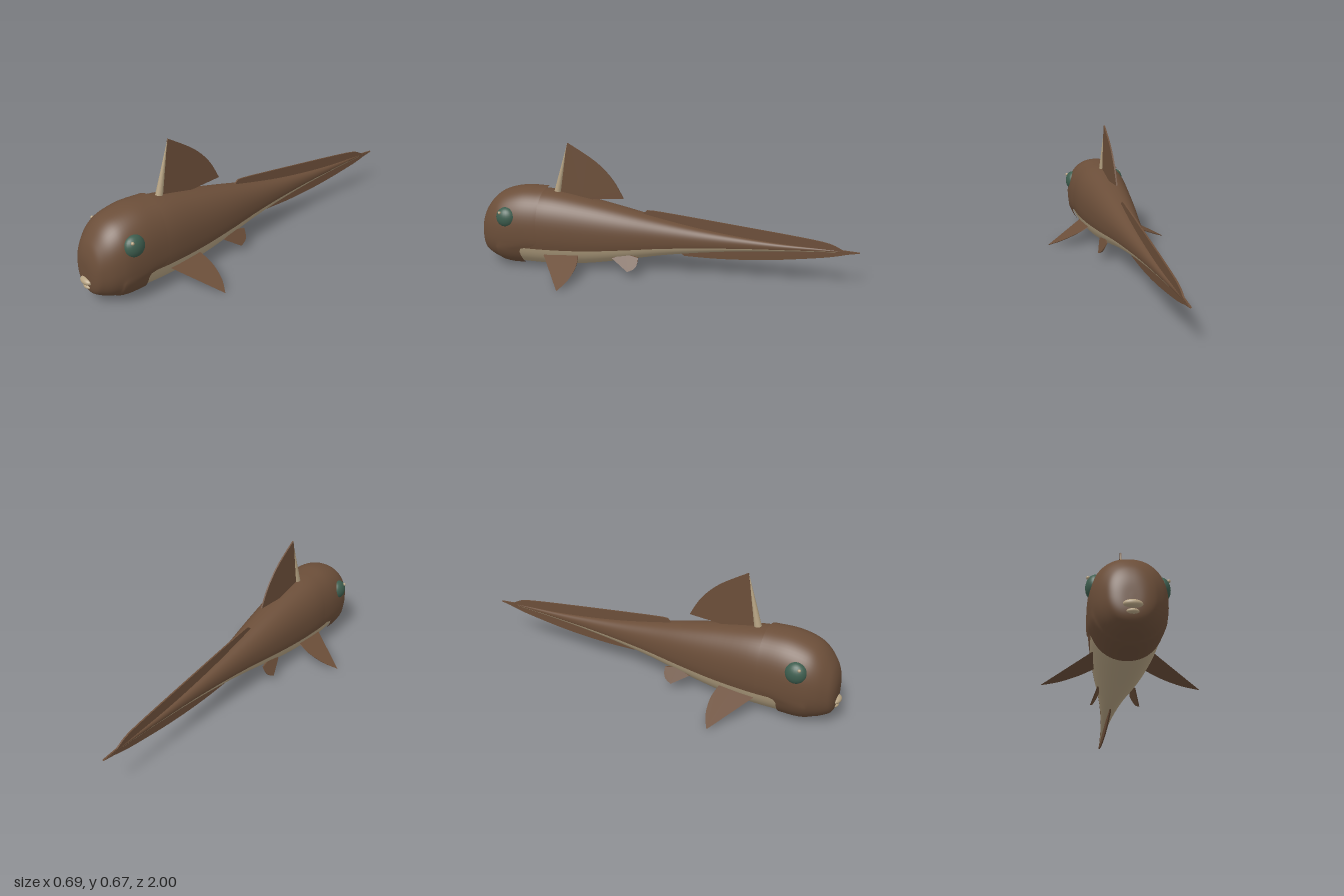
import * as THREE from 'three';
import { mergeVertices } from 'three/addons/utils/BufferGeometryUtils.js';

const material = (name, color, side = THREE.FrontSide) => {
  const m = new THREE.MeshStandardMaterial({ color, side });
  m.name = name;
  return m;
};

// Cross-section stations, back to front: [z, top, bottom, half width]
const BODY = [
  [-1, 0.2, 0.196, 0.001], [-0.8, 0.207, 0.188, 0.008], [-0.6, 0.217, 0.175, 0.018],
  [-0.4, 0.237, 0.158, 0.032], [-0.2, 0.265, 0.135, 0.052], [0, 0.303, 0.105, 0.078],
  [0.2, 0.347, 0.065, 0.108], [0.4, 0.388, 0.03, 0.133], [0.6, 0.421, 0.015, 0.154],
  [0.78, 0.422, 0.016, 0.154],
];
const HEAD = [
  [0.62, 0.434, 0.008, 0.162], [0.74, 0.435, 0.008, 0.166], [0.84, 0.413, 0.018, 0.16],
  [0.9, 0.378, 0.032, 0.14], [0.945, 0.325, 0.052, 0.108], [0.967, 0.28, 0.07, 0.083],
  [0.978, 0.23, 0.105, 0.048], [0.98, 0.165, 0.165, 0],
];
const BELLY = 1.18; // angle from straight down where the pale belly ends

const power = (v) => Math.sign(v) * Math.abs(v) ** 0.9;

// Smooth skin over the stations, between two angles measured from the underside
function loft(stations, from, to, around, shift = () => 0) {
  const spline = new THREE.CubicInterpolant(stations.map((s, i) => i), stations.flat(), 4);
  const rows = (stations.length - 1) * 5;
  const positions = [];
  const index = [];
  for (let i = 0; i <= rows; i++) {
    const t = i / 5;
    const [z, top, bottom, width] = Array.from(spline.evaluate(t));
    for (let j = 0; j <= around; j++) {
      const a = from + ((to - from) * j) / around;
      positions.push(
        width * power(Math.sin(a)),
        (top + bottom) / 2 - ((top - bottom) / 2) * power(Math.cos(a)),
        z + shift(a, t),
      );
      if (i < rows && j < around) {
        const p = i * (around + 1) + j;
        const q = p + around + 1;
        index.push(p, p + 1, q, p + 1, q + 1, q);
      }
    }
  }
  const geometry = new THREE.BufferGeometry();
  geometry.setAttribute('position', new THREE.Float32BufferAttribute(positions, 3));
  geometry.setIndex(index);
  const merged = mergeVertices(geometry, 1e-5);
  merged.computeVertexNormals();
  return merged;
}

// Thin fin from a (z, y) outline; xAt slants it sideways by height
function finGeometry(points, thickness, xAt = () => 0) {
  const shape = new THREE.Shape(points.map(([z, y]) => new THREE.Vector2(z, y)));
  const geometry = new THREE.ExtrudeGeometry(shape, { depth: thickness, bevelEnabled: false });
  geometry.translate(0, 0, -thickness / 2).rotateY(-Math.PI / 2);
  const p = geometry.attributes.position;
  for (let i = 0; i < p.count; i++) p.setX(i, p.getX(i) + xAt(p.getY(i)));
  geometry.computeVertexNormals();
  return geometry;
}

// Rounded edge through a few points
const curve = (points) =>
  new THREE.SplineCurve(points.map(([z, y]) => new THREE.Vector2(z, y)))
    .getPoints(points.length * 5).map((v) => [v.x, v.y]);

export function createModel() {
  const model = new THREE.Group();
  model.name = 'fish';
  const brown = material('brown skin', 0x6b4e39);
  const finBrown = material('brown fin', 0x6b4e39, THREE.DoubleSide);
  const pale = material('pale belly', 0xb5a282);
  const green = material('green eye', 0x3d5d4e);

  const add = (name, geometry, mat, position = [0, 0, 0], scale = [1, 1, 1]) => {
    const mesh = new THREE.Mesh(geometry, mat);
    mesh.name = name;
    mesh.position.set(...position);
    mesh.scale.set(...scale);
    model.add(mesh);
    return mesh;
  };

  // Body: brown back and pale belly
  add('back', loft(BODY, BELLY, 2 * Math.PI - BELLY, 40), brown);
  add('belly', loft(BODY, -BELLY, BELLY, 24), pale);

  // Head shell, its rear edge cut forward beneath to uncover the belly
  const rearEdge = (a, t) => {
    const fromBelow = Math.PI - Math.abs(Math.PI - a);
    const under = 1 - THREE.MathUtils.smoothstep(fromBelow, 1.14, 1.34);
    const side = Math.max(0, Math.sin(a));
    return (0.018 * side + 0.105 * under) * Math.max(0, 1 - t / 2.5);
  };
  add('head', loft(HEAD, 0, 2 * Math.PI, 64, rearEdge), brown);

  // Lips
  const ball = new THREE.SphereGeometry(1, 24, 16);
  add('upperLip', ball, pale, [0, 0.13, 0.975], [0.04, 0.018, 0.024]);
  add('lowerLip', ball, pale, [0, 0.1, 0.969], [0.027, 0.012, 0.02]);

  // Dorsal fin with its leading spine
  add('dorsalFin', finGeometry([
    [0.565, 0.39],
    ...curve([[0.5, 0.678], [0.357, 0.59], [0.265, 0.5], [0.205, 0.397]]),
    [0.43, 0.379], [0.47, 0.35],
  ], 0.008), finBrown);
  const spine = add('dorsalSpine', new THREE.ConeGeometry(0.02, 0.29, 12), pale, [0, 0.535, 0.535]);
  spine.rotation.x = -0.236;

  // Long tail fins above and below
  add('upperTailFin', finGeometry([
    [0.11, 0.315],
    ...curve([[0.08, 0.342], [0, 0.338], [-0.39, 0.295], [-0.715, 0.257], [-0.85, 0.235], [-0.915, 0.206]]),
    [-1, 0.2], [-0.8, 0.197], [-0.4, 0.2], [0, 0.22],
  ], 0.008), finBrown);
  add('lowerTailFin', finGeometry([
    [-0.07, 0.14],
    ...curve([[-0.12, 0.107], [-0.315, 0.107], [-0.555, 0.123], [-0.825, 0.16], [-0.94, 0.186]]),
    [-1, 0.197], [-0.8, 0.197], [-0.4, 0.2], [-0.1, 0.2],
  ], 0.008), finBrown);

  // Paired parts
  for (const [side, s] of [['left', 1], ['right', -1]]) {
    const eye = add(side + 'Eye', ball, green, [s * 0.138, 0.298, 0.805], [0.038, 0.053, 0.053]);
    eye.rotation.z = s * 0.12;
    add(side + 'EyeGlint', ball, pale, [s * 0.166, 0.329, 0.828], [0.008, 0.008, 0.008]);

    add(side + 'PectoralFin', finGeometry([
      [0.61, 0.1],
      ...curve([[0.465, 0.003], [0.428, 0.035], [0.414, 0.075], [0.428, 0.112]]),
      [0.5, 0.12],
    ], 0.008, (y) => s * (0.13 + (0.1 - y) * 2.2)), finBrown);

    add(side + 'PelvicFin', finGeometry([
      [0.25, 0.095],
      ...curve([[0.16, 0.037], [0.125, 0.055], [0.112, 0.08], [0.11, 0.107]]),
      [0.18, 0.12],
    ], 0.007, (y) => s * (0.08 + (0.107 - y) * 0.5)), finBrown);
  }
  return model;
}
